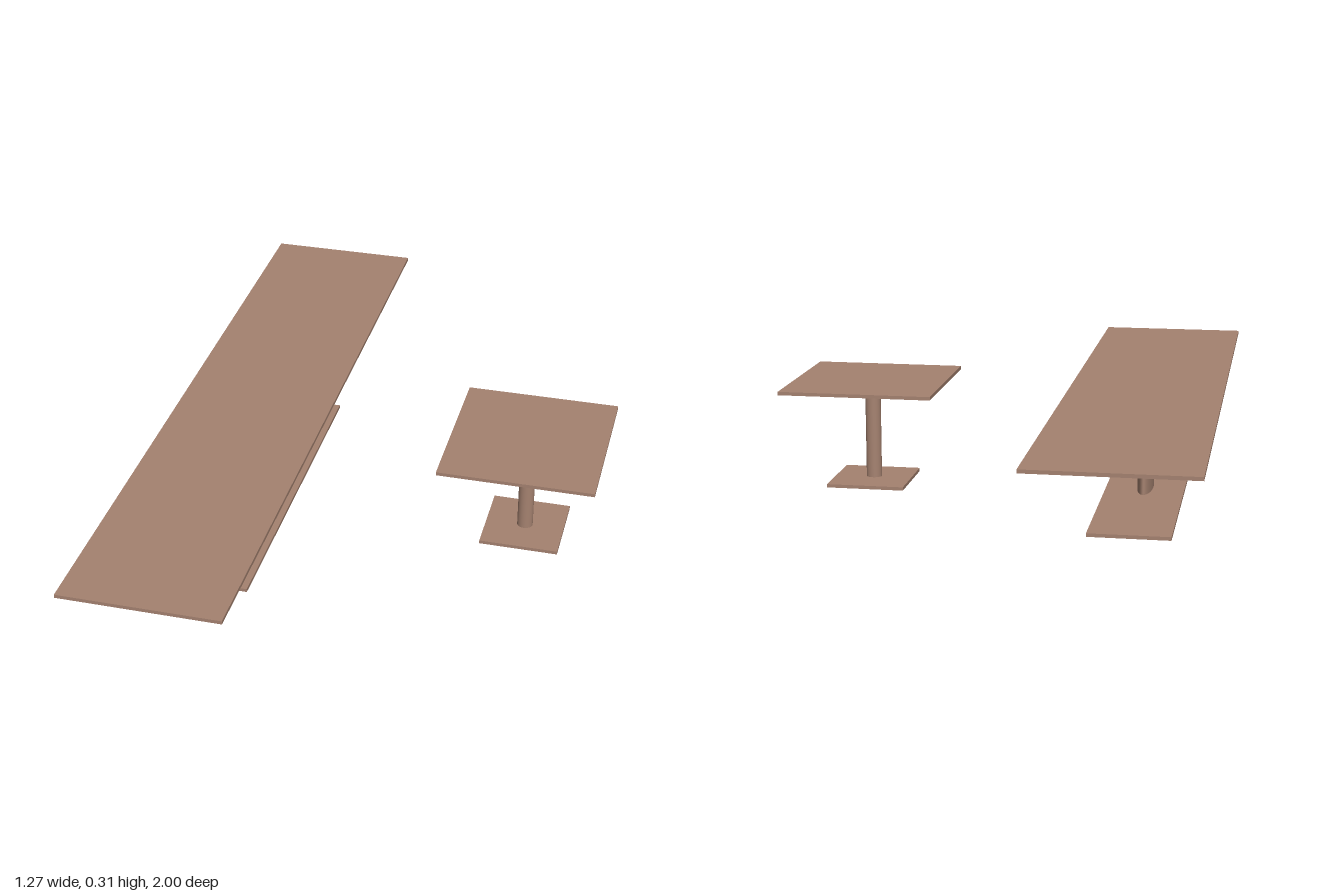
import * as THREE from 'three';

const material = new THREE.MeshStandardMaterial({ color: 0xa58270 });

// Pedestal table: thin top, elliptical column, thin base plate
function makeTable(name, { x, top, base, column, columnZ }) {
  const table = new THREE.Group();
  table.name = name;
  const add = (part, geometry, y, z = 0) => {
    const mesh = new THREE.Mesh(geometry, material);
    mesh.name = part;
    mesh.position.set(0, y, z);
    table.add(mesh);
  };
  const thickness = 0.01, height = 0.31;
  add('tableTop', new THREE.BoxGeometry(top[0], thickness, top[1]), height - thickness / 2);
  add('basePlate', new THREE.BoxGeometry(base[0], thickness, base[1]), thickness / 2);
  const shaft = new THREE.CylinderGeometry(0.5, 0.5, height - 2 * thickness, 48);
  shaft.scale(column[0], 1, column[1]);
  add('column', shaft, height / 2, columnZ);
  table.position.x = x;
  return table;
}

export function createModel() {
  const model = new THREE.Group();
  model.name = 'tables';
  model.add(
    makeTable('longTable', {
      x: -0.41, top: [0.447, 2], base: [0.23, 1], column: [0.046, 0.19], columnZ: 0.01,
    }),
    makeTable('squareTable', {
      x: 0.41, top: [0.447, 0.465], base: [0.23, 0.235], column: [0.046, 0.042], columnZ: 0.004,
    }),
  );
  return model;
}
